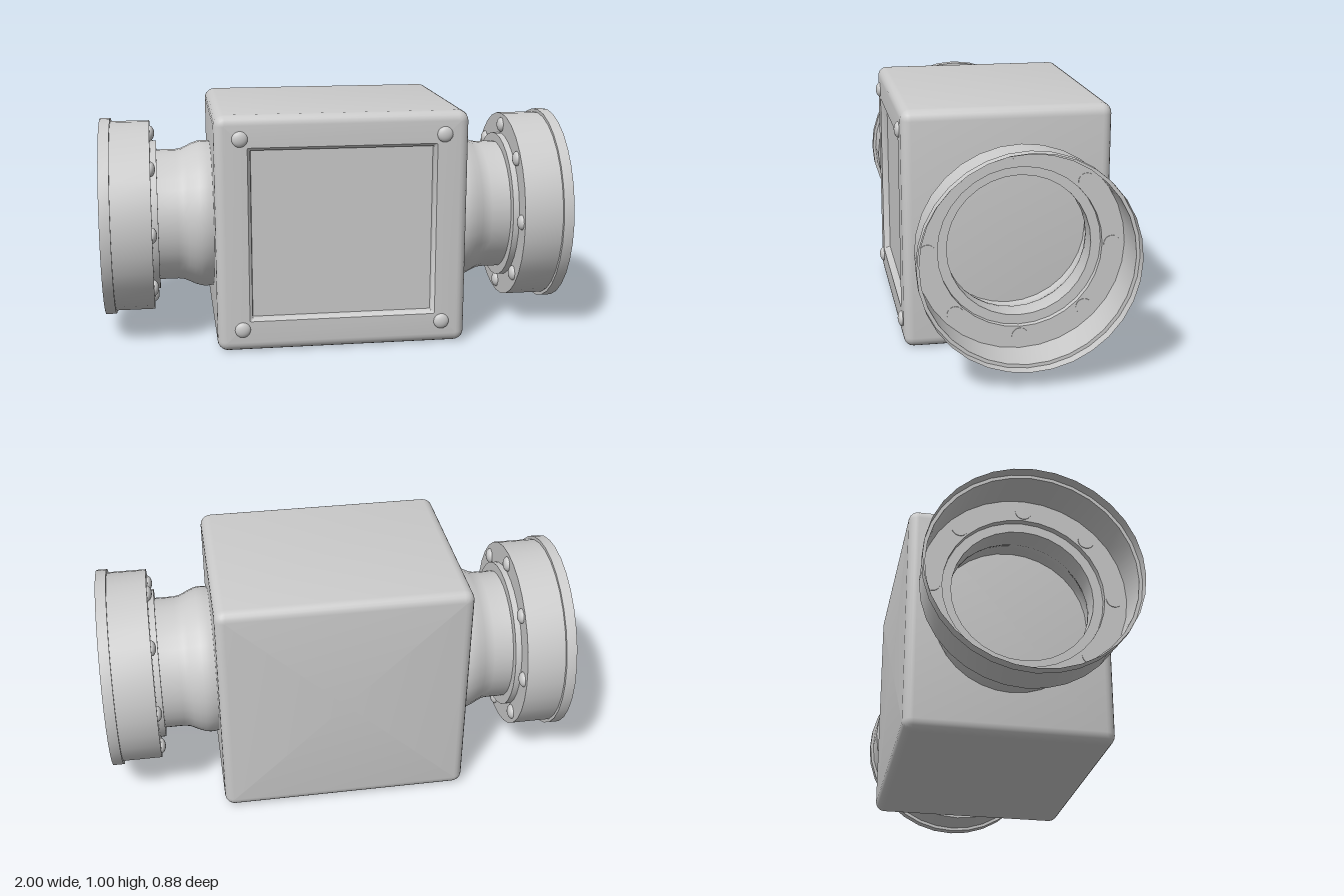
import * as THREE from 'three';
import { toCreasedNormals } from 'three/addons/utils/BufferGeometryUtils.js';

const grey = new THREE.MeshStandardMaterial({ color: 0xcccccc });
const thin = new THREE.MeshStandardMaterial({ color: 0xcccccc, side: THREE.DoubleSide });

function mesh(name, geometry, material = grey) {
  const m = new THREE.Mesh(geometry, material);
  m.name = name;
  return m;
}

// Counter-clockwise loop of a rounded rectangle: half width, half height, corner radius
function ring(w, h, r, z) {
  const points = [];
  for (let corner = 0; corner < 4; corner++) {
    const sx = corner === 0 || corner === 3 ? 1 : -1;
    const sy = corner < 2 ? 1 : -1;
    for (let k = 0; k <= 5; k++) {
      const a = (corner + k / 5) * Math.PI / 2;
      points.push([sx * (w - r) + r * Math.cos(a), sy * (h - r) + r * Math.sin(a), z]);
    }
  }
  return points;
}

// Skin the loops from back to front
function loft(rings) {
  const n = rings[0].length;
  const index = [];
  for (let i = 0; i < rings.length - 1; i++) {
    for (let j = 0; j < n; j++) {
      const a = i * n + j, b = i * n + (j + 1) % n;
      index.push(a, b, b + n, a, b + n, a + n);
    }
  }
  const g = new THREE.BufferGeometry();
  g.setAttribute('position', new THREE.Float32BufferAttribute(rings.flat(2), 3));
  g.setIndex(index);
  return toCreasedNormals(g, 0.6);
}

// Rounded housing with a shallow window recess in its front
function housing() {
  const W = 0.53, H = 0.502, R = 0.04, back = -0.437, front = 0.425;
  const rings = [ring(0, 0, 0, back)];
  const edge = (t, z) => {
    const inset = R * (1 - Math.cos(t));
    rings.push(ring(W - inset, H - inset, R - inset + 0.004, z));
  };
  for (let k = 5; k >= 0; k--) {
    const t = k / 5 * Math.PI / 2;
    edge(t, back + R * (1 - Math.sin(t)));
  }
  for (let k = 0; k <= 5; k++) {
    const t = k / 5 * Math.PI / 2;
    edge(t, front - R * (1 - Math.sin(t)));
  }
  rings.push(
    ring(0.395, 0.37, 0.006, front),
    ring(0.383, 0.358, 0.004, front - 0.012),
    ring(0.38, 0.355, 0.004, front - 0.028),
    ring(0, 0, 0, front - 0.028));
  return loft(rings);
}

// Domed bolt head, axis along +y
function boltHead(radius, height) {
  return new THREE.SphereGeometry(radius, 20, 8, 0, Math.PI * 2, 0, Math.PI / 2)
    .scale(1, height / radius, 1);
}

// Flanged port pointing along +x
function port(name) {
  const group = new THREE.Group();
  group.name = name;
  const profile = [
    [0.318, 0.52], [0.323, 0.545], [0.324, 0.565], [0.321, 0.585], [0.312, 0.61],
    [0.3, 0.635], [0.291, 0.655], [0.287, 0.68], [0.287, 0.762], [0.326, 0.762],
    [0.326, 0.788], [0.416, 0.788], [0.416, 0.955], [0.43, 0.955], [0.43, 1],
  ].map(([r, x]) => new THREE.Vector2(r, x));
  const shell = toCreasedNormals(new THREE.LatheGeometry(profile, 32), 0.6);
  group.add(mesh('flangedPipe', shell.rotateZ(-Math.PI / 2), thin));

  // Ring of bolts: domes towards the housing, flat ends inside the flange
  for (let i = 0; i < 8; i++) {
    const a = i * Math.PI / 4;
    const bolt = new THREE.Group();
    bolt.name = 'flangeBolt';
    bolt.add(mesh('boltHead', boltHead(0.033, 0.02).rotateZ(Math.PI / 2)));
    const end = mesh('boltEnd', new THREE.CylinderGeometry(0.033, 0.033, 0.004, 20).rotateZ(Math.PI / 2));
    end.position.x = 0.001;
    bolt.add(end);
    bolt.position.set(0.788, 0.365 * Math.sin(a), 0.365 * Math.cos(a));
    group.add(bolt);
  }
  return group;
}

export function createModel() {
  const model = new THREE.Group();
  model.name = 'valveBox';

  const body = mesh('housing', housing());
  body.position.y = 0.502;
  model.add(body);

  // Corner screws on the front
  for (const x of [-0.425, 0.425]) {
    for (const y of [0.097, 0.909]) {
      const screw = mesh('frontScrew', boltHead(0.033, 0.018).rotateX(Math.PI / 2));
      screw.position.set(x, y, 0.425);
      model.add(screw);
    }
  }

  // Matching ports on both sides
  ['leftPort', 'rightPort'].forEach((name, i) => {
    const p = port(name);
    p.position.set(0, 0.503, -0.006);
    p.rotation.y = i * Math.PI;
    model.add(p);
  });
  return model;
}
